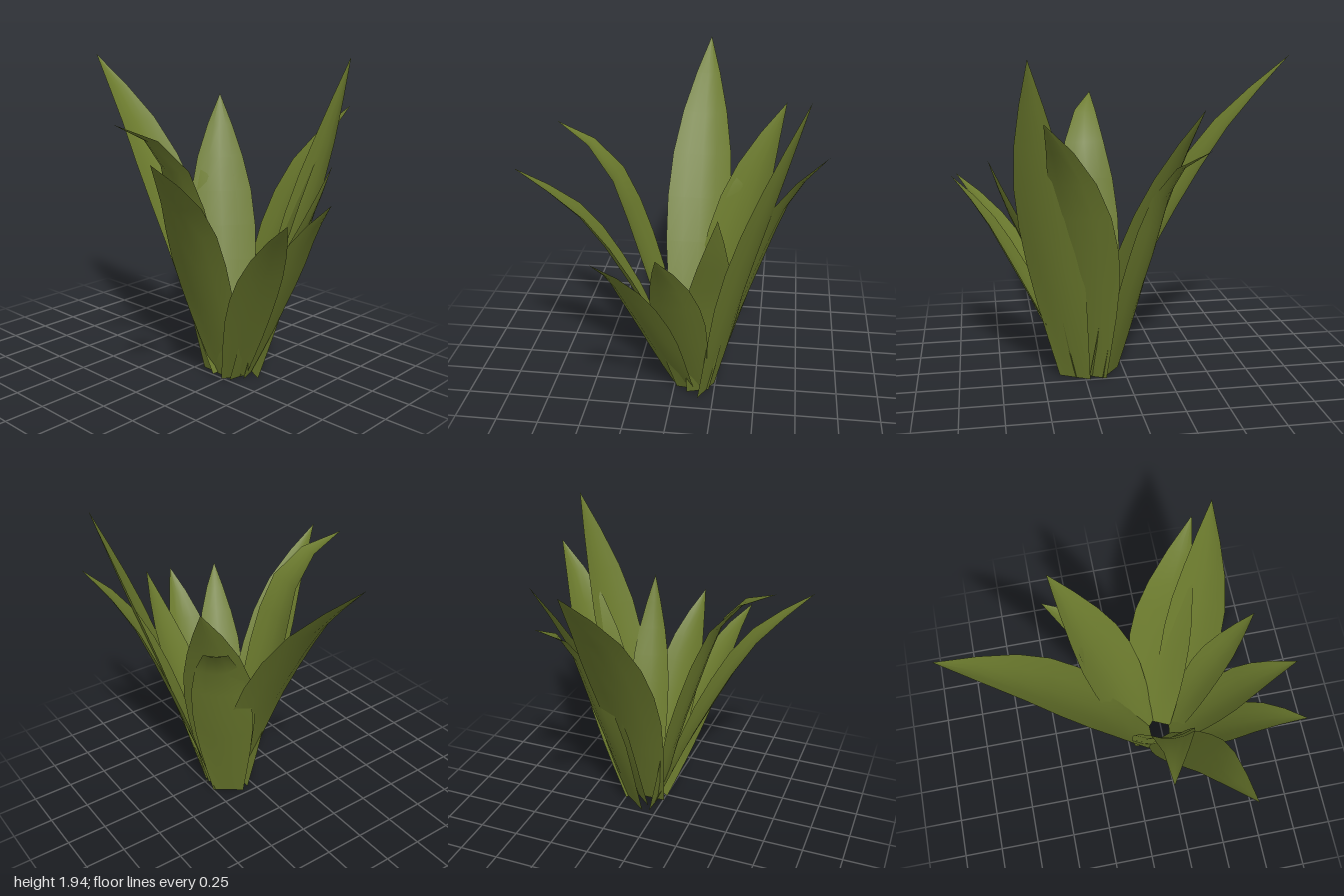
import * as THREE from 'three';

const leafMaterial = new THREE.MeshStandardMaterial({ color: 0x6c7b2e, side: THREE.DoubleSide });
leafMaterial.name = 'leaf green';

// Half-width of a blade from root to tip, as a fraction of its widest point
const PROFILE = [0.55, 0.71, 0.86, 0.97, 1, 0.92, 0.7, 0.38, 0];
const ROWS = PROFILE.length - 1;
const COLS = 4;

// One blade: a ribbon swept along a spine, flat at the root and gently cupped above
function blade(name, width, base, mid, upper, tip) {
  const points = [base, mid, upper, tip].map((p) => new THREE.Vector3(...p));
  const spine = new THREE.CatmullRomCurve3(points, false, 'centripetal');
  const lean = points[3].clone().sub(points[0]).setY(0).normalize();
  const side = new THREE.Vector3(lean.z, 0, -lean.x);
  const positions = [], index = [];
  for (let i = 0; i <= ROWS; i++) {
    const t = i / ROWS;
    const centre = spine.getPointAt(t);
    const inward = spine.getTangentAt(t).cross(side).normalize();
    if (inward.dot(lean) > 0) inward.negate();
    const half = PROFILE[i] * width / 2;
    const cup = 0.24 * Math.min(1, 2.5 * t);
    for (let j = 0; j <= COLS; j++) {
      const s = (j / COLS) * 2 - 1;
      const p = centre.clone()
        .addScaledVector(side, s * half)
        .addScaledVector(inward, (s * s - 0.35) * half * cup);
      positions.push(p.x, p.y, p.z);
    }
  }
  for (let i = 0; i < ROWS; i++) {
    for (let j = 0; j < COLS; j++) {
      const a = i * (COLS + 1) + j, b = a + 1, c = a + COLS + 1, d = c + 1;
      index.push(a, b, c);
      if (i < ROWS - 1) index.push(b, d, c);
    }
  }
  const geometry = new THREE.BufferGeometry();
  geometry.setAttribute('position', new THREE.Float32BufferAttribute(positions, 3));
  geometry.setIndex(index);
  geometry.computeVertexNormals();
  const mesh = new THREE.Mesh(geometry, leafMaterial);
  mesh.name = name;
  return mesh;
}

export function createModel() {
  const plant = new THREE.Group();
  plant.name = 'plant';
  plant.add(
    // long blade reaching out to the side
    blade('longSideLeaf', 0.40, [0.17, 0.01, -0.1], [-0.17, 0.8, -0.09], [-0.6, 1.49, -0.09], [-1, 1.91, -0.09]),
    // rear corner pair, the outer one drooping at its tip
    blade('rearCornerLeaf', 0.42, [0.15, 0.01, -0.15], [-0.06, 0.8, -0.32], [-0.23, 1.33, -0.47], [-0.36, 1.66, -0.61]),
    blade('rearCornerDroopingLeaf', 0.36, [0.09, 0, -0.17], [-0.09, 0.75, -0.32], [-0.24, 1.28, -0.45], [-0.42, 1.43, -0.56]),
    // rear pair
    blade('rearLeaf', 0.39, [0.22, 0, -0.2], [0.28, 0.85, -0.46], [0.39, 1.36, -0.65], [0.52, 1.635, -0.84]),
    blade('tallRearLeaf', 0.36, [0.31, 0, -0.2], [0.47, 0.9, -0.41], [0.55, 1.45, -0.57], [0.585, 1.94, -0.73]),
    // short blades fanning round the other side
    blade('shortRearSideLeaf', 0.25, [0.32, 0, -0.15], [0.54, 0.75, -0.23], [0.69, 1.1, -0.27], [0.79, 1.37, -0.29]),
    blade('shortSideLeaf', 0.31, [0.3, 0, -0.1], [0.65, 0.7, -0.06], [0.83, 1.02, -0.03], [1, 1.23, 0]),
    blade('shortFrontSideLeaf', 0.29, [0.28, 0, -0.06], [0.63, 0.7, 0.14], [0.82, 1, 0.24], [0.98, 1.18, 0.34]),
    // front pair, one drooping at its tip
    blade('frontLeaf', 0.34, [0.22, 0, -0.07], [0.29, 0.7, 0.24], [0.4, 1.2, 0.52], [0.52, 1.5, 0.84]),
    blade('frontDroopingLeaf', 0.35, [0.14, 0, -0.04], [0.16, 0.9, 0.2], [0.165, 1.46, 0.42], [0.09, 1.635, 0.7])
  );
  return plant;
}
